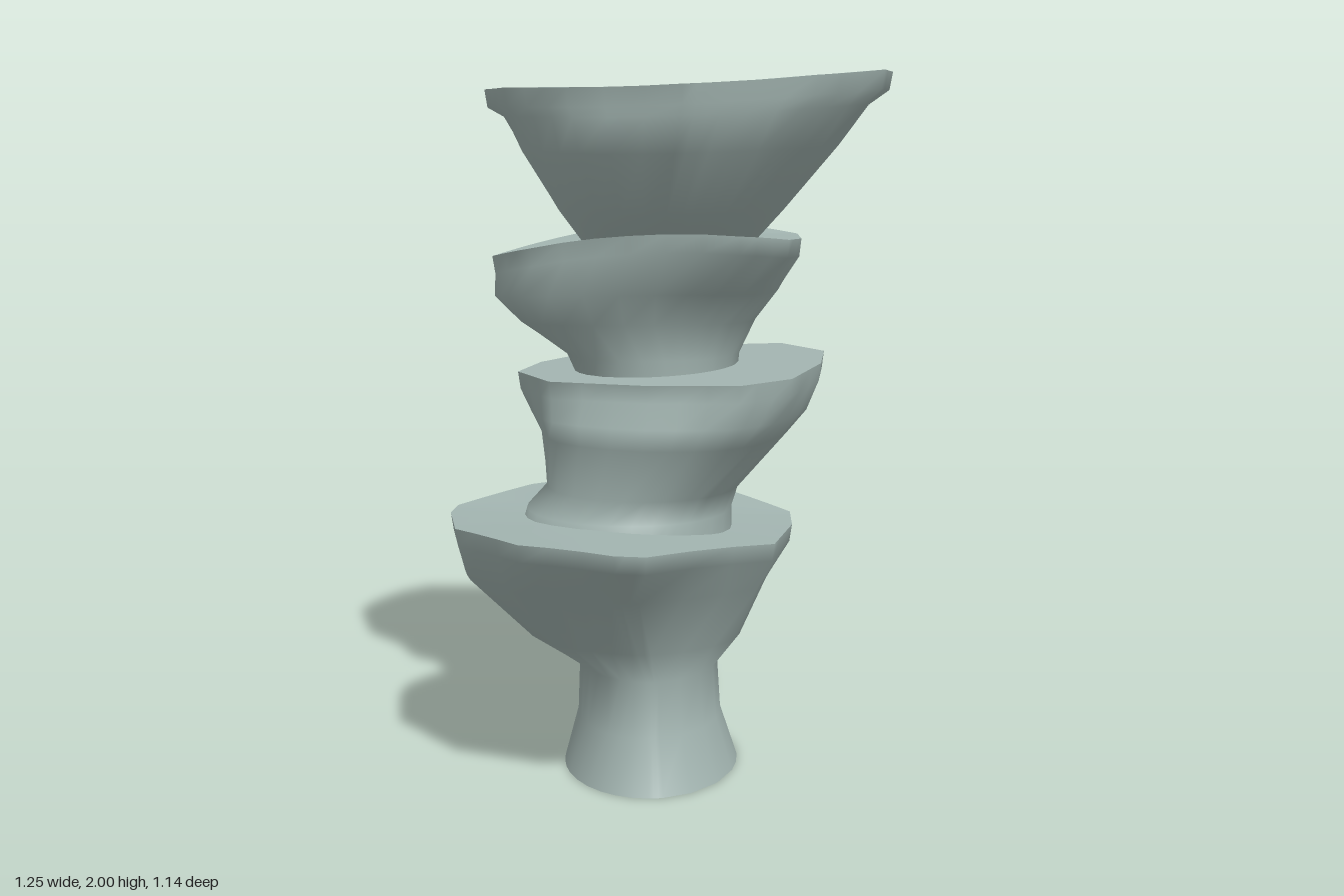
import * as THREE from 'three';

const stone = new THREE.MeshStandardMaterial({ color: 0xa3b5b1 });

// Fit an outline into the given x and z limits
function fit(pts, x0, x1, z0, z1) {
  const { min, max } = new THREE.Box3().setFromPoints(pts);
  const { mapLinear } = THREE.MathUtils;
  return pts.map((p) => new THREE.Vector3(
    mapLinear(p.x, min.x, max.x, x0, x1), p.y, mapLinear(p.z, min.z, max.z, z0, z1)));
}

const average = (pts) => pts.reduce((sum, p) => sum.add(p), new THREE.Vector3()).divideScalar(pts.length);

// One stone: a rounded neck that flares out to an uneven, slightly tilted rim.
// tilt: height, x slope, z slope and sideways bend of the top.
// outline: rim corners [x, z] from left to right along the front and back again.
// rings: neck sections [y, minX, maxX, minZ, maxZ] from the foot up.
function makeTier(name, [height, slopeX, slopeZ, bend], outline, rings) {
  // Straight rim edges are split in three so that the neck can be round
  const rim = outline.flatMap(([x, z], i) => {
    const [nextX, nextZ] = outline[(i + 1) % outline.length];
    return [0, 1 / 3, 2 / 3].map((t) => {
      const px = THREE.MathUtils.lerp(x, nextX, t), pz = THREE.MathUtils.lerp(z, nextZ, t);
      return new THREE.Vector3(px, height + slopeX * px + slopeZ * pz - bend * px * px, pz);
    });
  });
  const n = rim.length;
  const unit = fit(rim, -1, 1, -1, 1);

  // Sections take on the outline and tilt of the rim as they rise
  const loops = rings.map(([y, ...limits]) => {
    const k = ((y - rings[0][0]) / (height - rings[0][0])) ** 2;
    const loop = unit.map((p) => {
      const s = THREE.MathUtils.lerp(1 / Math.hypot(p.x, p.z), 1, k);
      return new THREE.Vector3(p.x * s, y + (p.y - height) * k, p.z * s);
    });
    return fit(loop, ...limits);
  });

  // Lip just under the rim
  const centre = average(rim);
  loops.push(rim.map((p) => p.clone().lerp(centre, 0.015).setY(p.y - 0.05)), rim);

  const points = loops.flat();
  const index = [];
  for (let i = 0; i < loops.length - 1; i++) {
    for (let j = 0; j < n; j++) {
      const a = i * n + j, b = i * n + ((j + 1) % n);
      index.push(a, b, b + n, a, b + n, a + n);
    }
  }

  // Top and foot have their own vertices so their edges stay sharp
  for (const loop of [rim, [...loops[0]].reverse()]) {
    const start = points.length;
    points.push(...loop, average(loop));
    for (let j = 0; j < n; j++) index.push(start + n, start + j, start + ((j + 1) % n));
  }

  const geometry = new THREE.BufferGeometry().setFromPoints(points);
  geometry.setIndex(index);
  geometry.computeVertexNormals();
  const mesh = new THREE.Mesh(geometry, stone);
  mesh.name = name;
  return mesh;
}

export function createModel() {
  const group = new THREE.Group();
  group.name = 'stackedStonePillar';

  // Base on a waisted foot
  group.add(makeTier('baseTier', [0.747, -0.1, 0.025, 0.15],
    [[-0.63, 0], [-0.58, 0.24], [-0.38, 0.475], [-0.12, 0.567], [-0.04, 0.55], [0.3, 0.17],
      [0.36, -0.15], [0.36, -0.34], [0.16, -0.52], [0.04, -0.57], [-0.24, -0.53], [-0.44, -0.39], [-0.625, -0.11]],
    [[0, -0.31, 0.2, -0.39, 0.28], [0.15, -0.27, 0.15, -0.345, 0.22], [0.31, -0.265, 0.14, -0.345, 0.21],
      [0.4, -0.42, 0.21, -0.375, 0.25], [0.58, -0.6, 0.29, -0.47, 0.39]]));

  // Second tier, its foot spreading over the base
  group.add(makeTier('secondTier', [1.17, 0.05, -0.02, 0],
    [[-0.44, -0.09], [-0.33, 0.11], [-0.05, 0.25], [0.2, 0.315], [0.34, 0.24], [0.43, 0],
      [0.45, -0.22], [0.33, -0.41], [0.15, -0.435], [-0.25, -0.4], [-0.39, -0.25]],
    [[0.7, -0.43, 0.18, -0.32, 0.25], [0.77, -0.41, 0.18, -0.31, 0.24], [0.83, -0.355, 0.2, -0.305, 0.2],
      [0.99, -0.37, 0.34, -0.36, 0.29], [1.05, -0.4, 0.395, -0.39, 0.305]]));

  // Third tier
  group.add(makeTier('thirdTier', [1.565, 0.03, 0.02, 0.25],
    [[-0.51, -0.1], [-0.38, 0.1], [-0.1, 0.24], [0.2, 0.29], [0.33, 0.19], [0.37, 0],
      [0.37, -0.29], [0.29, -0.37], [0.23, -0.48], [0.16, -0.515], [-0.07, -0.505], [-0.3, -0.41], [-0.42, -0.26]],
    [[1.12, -0.26, 0.19, -0.33, 0.11], [1.21, -0.3, 0.2, -0.335, 0.115],
      [1.31, -0.43, 0.245, -0.345, 0.13], [1.4, -0.505, 0.31, -0.44, 0.2]]));

  // Wide top tier
  group.add(makeTier('topTier', [1.943, 0.033, 0.025, -0.1],
    [[-0.52, -0.07], [-0.43, 0.2], [-0.25, 0.37], [0.05, 0.495], [0.16, 0.475], [0.39, 0.39], [0.58, 0.15],
      [0.625, -0.12], [0.6, -0.2], [0.39, -0.33], [0.13, -0.41], [-0.15, -0.46], [-0.34, -0.43], [-0.41, -0.37],
      [-0.5, -0.2]],
    [[1.52, -0.24, 0.23, -0.27, 0.16], [1.62, -0.31, 0.32, -0.345, 0.3],
      [1.78, -0.41, 0.47, -0.4, 0.455], [1.87, -0.465, 0.555, -0.43, 0.48]]));

  return group;
}
